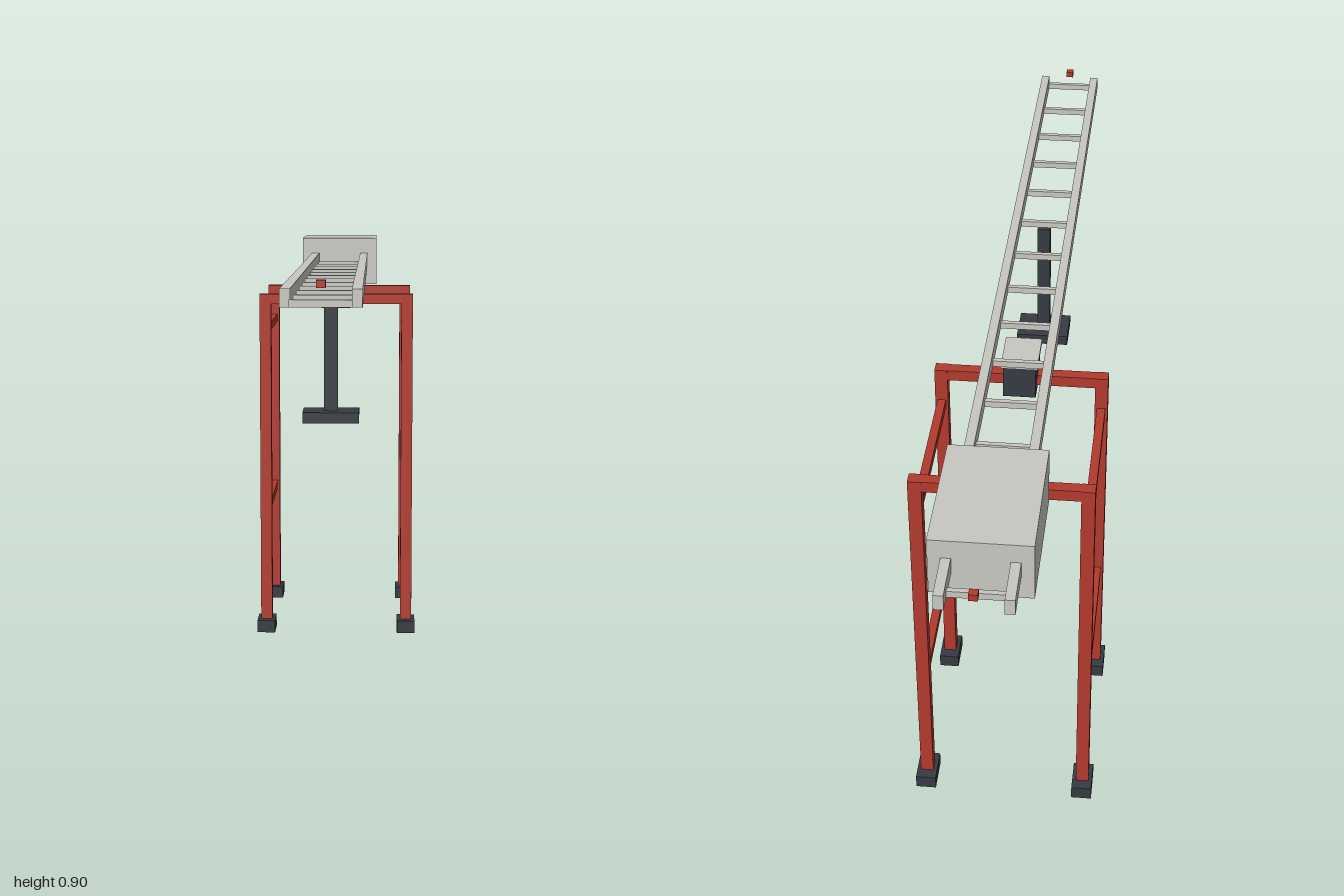
import * as THREE from 'three';

const material = (name, color, side = THREE.FrontSide) => {
  const m = new THREE.MeshStandardMaterial({ color, side });
  m.name = name;
  return m;
};

export function createModel() {
  const red = material('red paint', 0xb23a2e);
  const dark = material('dark steel', 0x353b42);
  const grey = material('light grey metal', 0xc8c7c1);

  const model = new THREE.Group();
  model.name = 'ladderOnTrestle';

  // Box given by its size and centre
  const box = (name, mat, w, h, d, x, y, z, parent = model) => {
    const mesh = new THREE.Mesh(new THREE.BoxGeometry(w, h, d), mat);
    mesh.name = name;
    mesh.position.set(x, y, z);
    parent.add(mesh);
    return mesh;
  };
  const group = (name) => {
    const g = new THREE.Group();
    g.name = name;
    model.add(g);
    return g;
  };

  // Ladder: two rails, evenly spaced rungs and a small marker above each end
  const ladder = group('ladder');
  for (const s of [-1, 1]) {
    box('rail', grey, 0.018, 0.031, 1.98, s * 0.06, 0.847, 0, ladder);
    box('endMarker', red, 0.016, 0.013, 0.016, 0, 0.871, s * 0.992, ladder);
  }
  for (let i = 0; i < 15; i++) {
    box('rung', grey, 0.106, 0.013, 0.01, 0, 0.838, -0.952 + i * 0.1385, ladder);
  }

  // Trestle: four legs with feet, top beams and side braces
  const trestle = group('trestle');
  const legX = 0.162, frontZ = -0.208, backZ = -0.577;
  for (const z of [frontZ, backZ]) {
    for (const s of [-1, 1]) {
      box('leg', red, 0.026, 0.757, 0.026, s * legX, 0.4065, z, trestle);
      box('foot', dark, 0.041, 0.028, 0.071, s * legX, 0.014, z, trestle);
    }
    box('topBeam', red, 0.35, 0.023, 0.024, 0, 0.7735, z, trestle);
  }
  for (const s of [-1, 1]) {
    for (const y of [0.705, 0.288]) {
      box('sideBrace', red, 0.017, 0.018, frontZ - backZ, s * legX, y, (frontZ + backZ) / 2, trestle);
    }
  }

  // Pivot block and saddle carrying the ladder
  box('pivotBlock', dark, 0.065, 0.07, 0.092, 0, 0.79, frontZ);
  box('saddlePlate', grey, 0.073, 0.009, 0.1, 0, 0.828, frontZ);

  // Hanging seat under the ladder
  box('seatPost', dark, 0.028, 0.257, 0.022, 0, 0.703, 0.29);
  box('seat', dark, 0.114, 0.022, 0.09, 0, 0.566, 0.29);

  // Counterweight housing: thin panels, open below
  const housing = group('counterweightHousing');
  const w = 0.184, h = 0.115, d = 0.272, t = 0.004, y = 0.8425, z = -0.757;
  box('housingTop', grey, w, t, d, 0, y + h / 2 - t / 2, z, housing);
  for (const s of [-1, 1]) {
    box('housingSide', grey, t, h - t, d, s * (w - t) / 2, y - t / 2, z, housing);
    box('housingEnd', grey, w - 2 * t, h - t, t, 0, y - t / 2, z + s * (d - t) / 2, housing);
  }

  return model;
}
